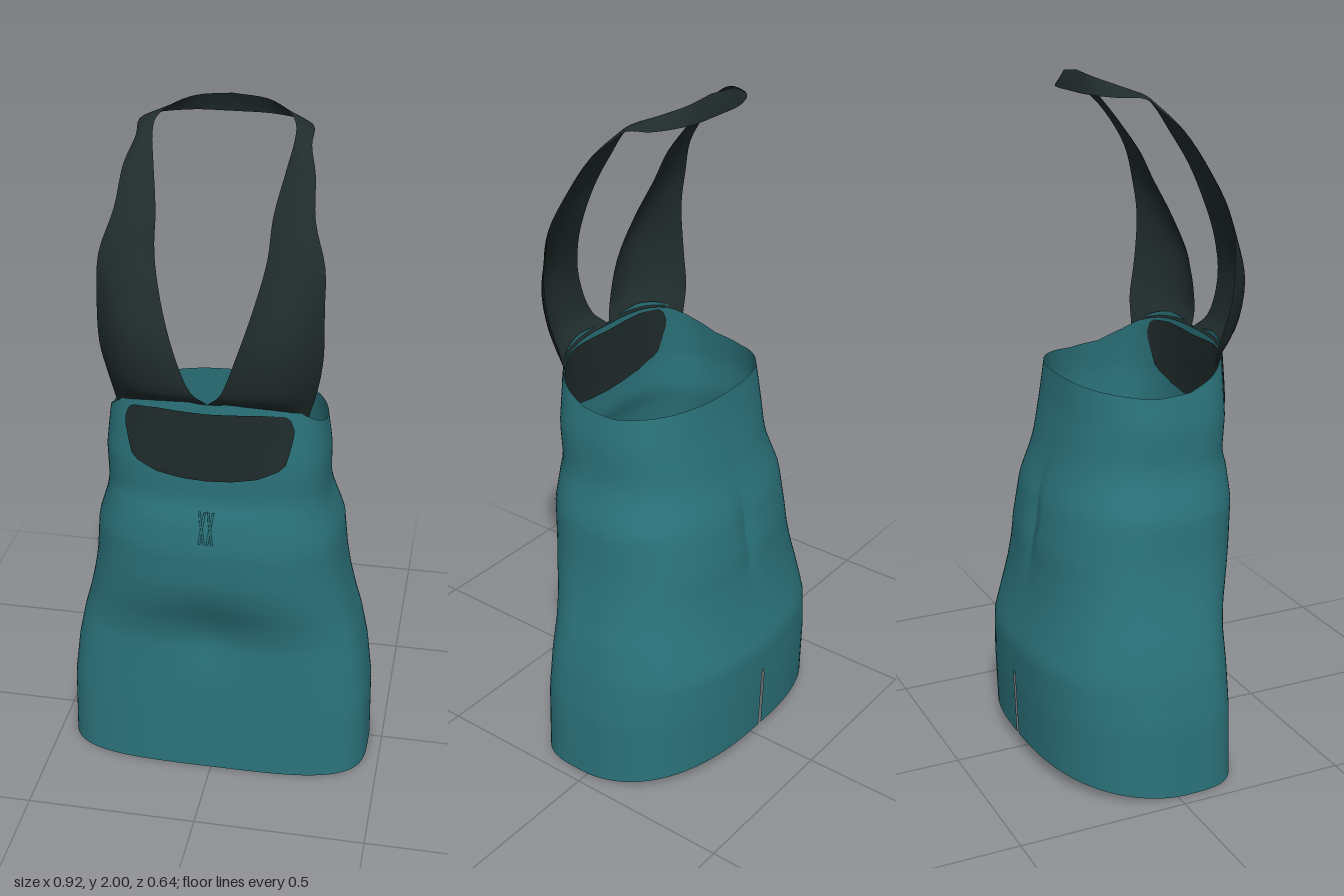
import * as THREE from 'three';

const fabric = new THREE.MeshStandardMaterial({ color: 0x2b737b, side: THREE.DoubleSide });
fabric.name = 'tealFabric';
const trim = new THREE.MeshStandardMaterial({ color: 0x202b2b, side: THREE.DoubleSide });
trim.name = 'darkTrim';

// Linear lookup: rows are [key, value, value...], keys ascending
function lookup(rows, k) {
  let i = 0;
  while (i < rows.length - 2 && k > rows[i + 1][0]) i++;
  const a = rows[i], b = rows[i + 1];
  const t = THREE.MathUtils.clamp((k - a[0]) / (b[0] - a[0]), 0, 1);
  return a.slice(1).map((v, j) => v + (b[j + 1] - v) * t);
}

// Sheet of nu x nv cells; fn(u, v) returns [x, y, z]
function sheet(name, material, nu, nv, fn) {
  const pos = [], index = [];
  for (let j = 0; j <= nv; j++)
    for (let i = 0; i <= nu; i++) {
      pos.push(...fn(i / nu, j / nv));
      if (i < nu && j < nv) {
        const a = j * (nu + 1) + i, b = a + nu + 1;
        index.push(a, a + 1, b, a + 1, b + 1, b);
      }
    }
  const geo = new THREE.BufferGeometry();
  geo.setAttribute('position', new THREE.Float32BufferAttribute(pos, 3));
  geo.setIndex(index);
  geo.computeVertexNormals();
  const mesh = new THREE.Mesh(geo, material);
  mesh.name = name;
  return mesh;
}

// Body cross-sections: y, half width, front z, back z, centre z, front roundness
const SECTIONS = [
  [0, .46, .245, -.305, .02, 3.7],
  [.22, .456, .24, -.314, .02, 3.7],
  [.35, .44, .237, -.316, .02, 3.6],
  [.45, .42, .237, -.29, .02, 3.4],
  [.52, .4, .254, -.275, .02, 3.2],
  [.6, .382, .282, -.264, .025, 2.9],
  [.67, .37, .3, -.26, .03, 2.7],
  [.8, .358, .308, -.238, .04, 2.7],
  [.9, .325, .294, -.207, .06, 2.8],
  [.94, .318, .277, -.198, .07, 2.9],
  [1.05, .318, .28, -.177, .08, 3],
  [1.15, .305, .274, -.165, .09, 3],
  [1.27, .285, .27, -.16, .09, 3],
];
// Top edge height by depth
const TOP = [[-.16, 1.155], [0, 1.14], [.1, 1.15], [.17, 1.18], [.2, 1.2], [.24, 1.24], [.265, 1.262]];

const bump = (d, width) => Math.exp(-((d / width) ** 2));
// Soft hollow at the centre of the lap, and the groove down the centre back
const hollow = (x, y) => .022 * bump(x, .12) * bump(y - .47, .12);
const groove = (x, y) => .014 * bump(x, .03) * bump(y - .72, .12);

function ringPoint(a, y) {
  const [w, front, back, zc, nf] = lookup(SECTIONS, y);
  const s = Math.sin(a), c = Math.cos(a);
  const n = 2.45 + (nf - 2.45) * THREE.MathUtils.smoothstep(c, -.3, .3);
  const k = (Math.abs(s) ** n + Math.abs(c) ** n) ** (-1 / n);
  const x = w * s * k;
  const z = c > 0 ? c * k * (front - zc) - hollow(x, y) : c * k * (zc - back) + groove(x, y);
  return [x, y, zc + z];
}

function frontZ(x, y) {
  const [w, front, , zc, n] = lookup(SECTIONS, y);
  return zc + (front - zc) * (1 - Math.abs(x / w) ** n) ** (1 / n) - hollow(x, y);
}

// Strap rows from bust to nape: inner, middle and outer point.
// Over the shoulder the outer edge turns into the lower edge of the neck band.
const STRAP = [
  [[0, 1.245, .262], [.18, 1.235, .25], [.268, 1.2, .195]],
  [[.04, 1.29, .292], [.2, 1.29, .292], [.29, 1.285, .2]],
  [[.085, 1.41, .298], [.21, 1.43, .315], [.306, 1.39, .222]],
  [[.125, 1.54, .262], [.22, 1.55, .278], [.306, 1.53, .23]],
  [[.15, 1.65, .212], [.225, 1.66, .226], [.302, 1.64, .212]],
  [[.156, 1.75, .163], [.215, 1.75, .176], [.268, 1.75, .168]],
  [[.176, 1.85, .09], [.22, 1.86, .1], [.256, 1.85, .1]],
  [[.19, 1.92, .035], [.212, 1.925, .035], [.236, 1.91, .035]],
  [[.188, 1.95, 0], [.212, 1.952, -.005], [.236, 1.942, -.01]],
  [[.162, 1.971, -.05], [.185, 1.96, -.06], [.208, 1.944, -.066]],
  [[.1, 1.99, -.095], [.104, 1.967, -.106], [.108, 1.945, -.115]],
  [[0, 2, -.1], [0, 1.972, -.112], [0, 1.945, -.12]],
];
const strapEdges = [0, 1, 2].map(
  (k) => new THREE.CatmullRomCurve3(STRAP.map((row) => new THREE.Vector3(...row[k]))));

function strapPoint(u, v) {
  const [p, q, r] = strapEdges.map((c) => c.getPoint(v));
  // Quadratic through the three points, so the strap bows across its width
  return ['x', 'y', 'z'].map((k) =>
    p[k] * (1 - u) * (1 - 2 * u) + q[k] * 4 * u * (1 - u) + r[k] * u * (2 * u - 1));
}

export function createModel() {
  const group = new THREE.Group();
  group.name = 'halterDress';

  // Dress body, open at hem and top, with a slit at the centre back
  group.add(sheet('dressBody', fabric, 112, 46, (u, v) => {
    const a = (u * 2 - 1) * Math.PI;
    const [x, , z] = ringPoint(a, 1.22);
    let top = lookup(TOP, z)[0];
    if (z > 0) top -= .014 * bump(x, .08);
    const bottom = .048 * Math.max(0, -Math.cos(a)) ** 1.3;
    const p = ringPoint(a, bottom + (top - bottom) * v);
    if (u === 0 || u === 1) {
      const open = p[1] < .25 ? .006 : 0;
      p[0] = u === 0 ? -open : open;
    }
    return p;
  }));

  // Dark chest panel, on both faces of the cloth
  for (const [name, offset] of [['chestPanel', .004], ['chestPanelLining', -.004]])
    group.add(sheet(name, trim, 50, 12, (u, v) => {
      const t = u * 2 - 1, m = Math.abs(t);
      const top = lookup([[0, 1.222], [.6, 1.228], [.9, 1.222], [.97, 1.205], [1, 1.18]], m)[0];
      const low = lookup([[0, 1.02], [.3, 1.024], [.6, 1.036], [.84, 1.06], [.93, 1.08], [1, 1.16]], m)[0];
      const x = t * .235, y = low + (top - low) * v;
      return [x, y, frontZ(x, y) + offset];
    }));

  // Halter straps meeting behind the neck
  for (const [name, side] of [['leftStrap', 1], ['rightStrap', -1]])
    group.add(sheet(name, trim, 8, 44, (u, v) => {
      const p = strapPoint(side > 0 ? u : 1 - u, v);
      p[0] *= side;
      return p;
    }));

  // Small gathered folds at the centre of the waist
  for (const side of [-1, 1])
    for (const [x0, x1] of [[.02, .005], [.005, .018]])
      group.add(sheet('waistFold', fabric, 2, 6, (u, v) => {
        const y = .83 + .095 * v;
        const x = side * (x1 + (x0 - x1) * v) + (u - .5) * .006;
        return [x, y, frontZ(x, y) + (u === .5 ? .007 : .003)];
      }));

  return group;
}
